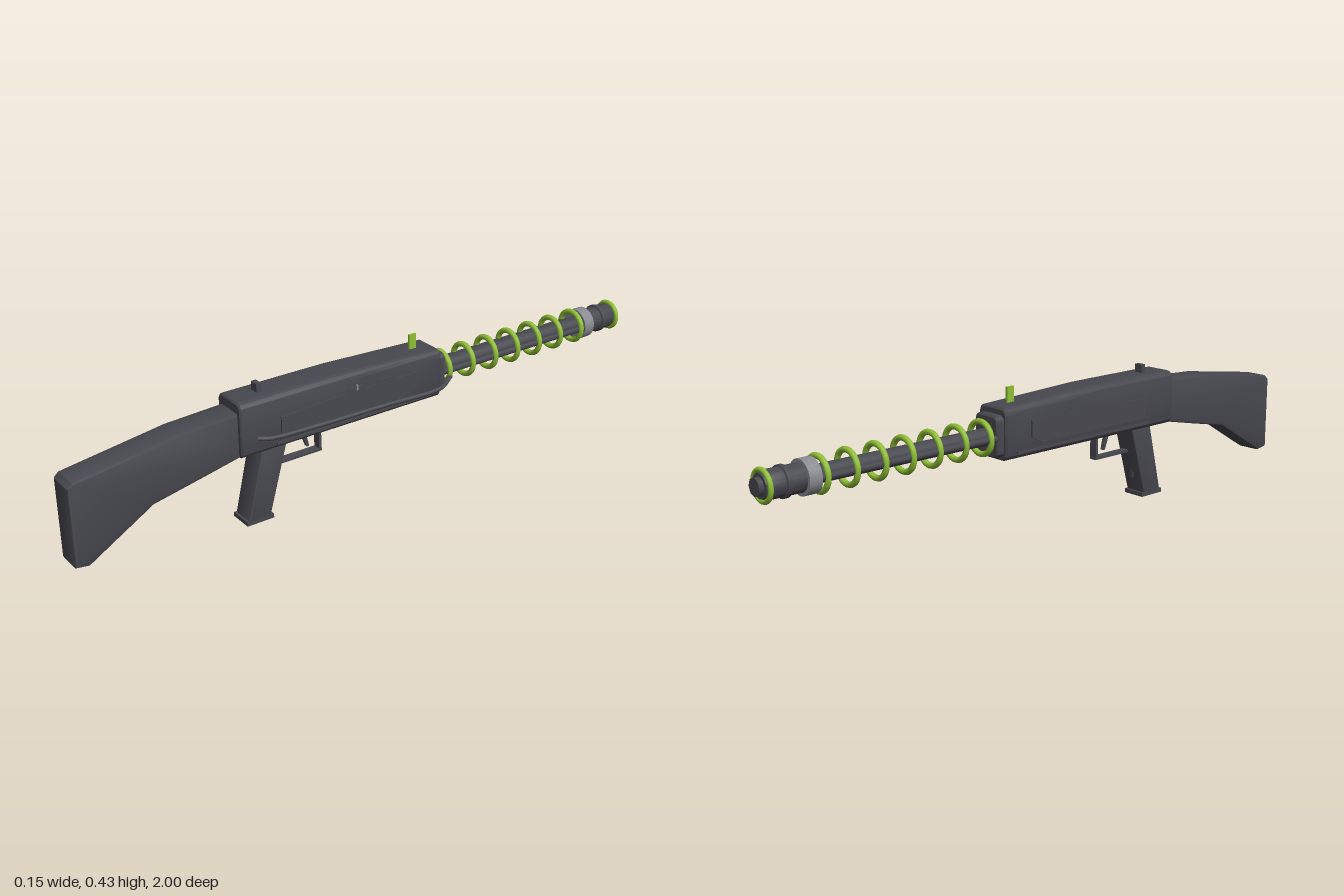
import * as THREE from 'three';
import { toCreasedNormals } from 'three/addons/utils/BufferGeometryUtils.js';

const CX = -0.011; // centre line of the model
const AXIS_Y = 0.3; // height of the barrel axis

const mat = (name, color) => {
  const m = new THREE.MeshStandardMaterial({ color });
  m.name = name;
  return m;
};

export function createModel() {
  const group = new THREE.Group();
  const body = mat('charcoal', 0x47474f);
  const green = mat('lime green', 0x8fbf35);
  const silver = mat('silver grey', 0x8a8a92);

  const add = (name, geo, material, x = 0, y = 0, z = 0) => {
    const mesh = new THREE.Mesh(geo, material);
    mesh.name = name;
    mesh.position.set(x, y, z);
    group.add(mesh);
    return mesh;
  };
  const box = (name, m, w, h, d, x, y, z) => add(name, new THREE.BoxGeometry(w, h, d), m, x, y, z);

  // Side profile of [z, y] points, extruded across x and centred on the given x
  const slab = (name, points, width, bevel, x = CX) => {
    const shape = new THREE.Shape(points.map(([z, y]) => new THREE.Vector2(z, y)));
    const geo = new THREE.ExtrudeGeometry(shape, {
      depth: width - 2 * bevel, bevelEnabled: bevel > 0, bevelSize: bevel,
      bevelThickness: bevel, bevelOffset: -bevel, bevelSegments: 2,
    });
    geo.translate(0, 0, -(width - 2 * bevel) / 2);
    geo.rotateY(-Math.PI / 2);
    return add(name, toCreasedNormals(geo, 0.5), body, x);
  };

  // Rounded block running along z
  const roundedBlock = (w, h, r, z0, z1, steps = 1, bevel = 0.005) => {
    const s = new THREE.Shape();
    const a = w / 2, b = h / 2;
    s.moveTo(-a + r, -b);
    s.lineTo(a - r, -b).absarc(a - r, -b + r, r, -Math.PI / 2, 0);
    s.lineTo(a, b - r).absarc(a - r, b - r, r, 0, Math.PI / 2);
    s.lineTo(-a + r, b).absarc(-a + r, b - r, r, Math.PI / 2, Math.PI);
    s.lineTo(-a, -b + r).absarc(-a + r, -b + r, r, Math.PI, Math.PI * 1.5);
    const geo = new THREE.ExtrudeGeometry(s, {
      depth: z1 - z0 - 2 * bevel, steps, curveSegments: 5, bevelSize: bevel,
      bevelThickness: bevel, bevelOffset: -bevel, bevelSegments: 1,
    });
    return geo.translate(0, 0, z0 + bevel);
  };

  // Round part lying along z
  const rod = (name, m, r, z0, z1, x = CX, sides = 24) => {
    const geo = new THREE.CylinderGeometry(r, r, z1 - z0, sides).rotateX(Math.PI / 2);
    return add(name, geo, m, x, AXIS_Y, (z0 + z1) / 2);
  };

  // Stock
  slab('stock', [
    [0.47, 0.235], [0.62, 0.203], [0.76, 0.174], [0.96, 0.054], [1, 0.06],
    [1, 0.3], [0.985, 0.314], [0.67, 0.36], [0.47, 0.37],
  ], 0.09, 0.008);

  // Receiver, its top falling slightly toward the barrel
  const receiver = roundedBlock(0.12, 0.17, 0.022, -0.215, 0.49, 8);
  const p = receiver.attributes.position;
  for (let i = 0; i < p.count; i++) {
    const drop = 0.015 * Math.max(0, (0.15 - p.getZ(i)) / 0.365);
    if (p.getY(i) > 0) p.setY(i, p.getY(i) - drop);
  }
  add('receiver', toCreasedNormals(receiver, 0.5), body, CX, 0.315, 0);
  add('receiverNose', toCreasedNormals(roundedBlock(0.1, 0.125, 0.02, -0.24, -0.2), 0.5), body, CX, 0.303, 0);

  // Stepped side panels and lower rails
  for (const side of [-1, 1]) {
    slab('sidePanel', [
      [0.36, 0.268], [0.36, 0.33], [0.14, 0.34], [0.13, 0.352], [0.08, 0.352], [0.07, 0.34],
      [0.03, 0.34], [0.02, 0.352], [-0.03, 0.352], [-0.04, 0.34], [-0.12, 0.34], [-0.12, 0.29], [-0.08, 0.268],
    ], 0.008, 0, CX + side * 0.061);
    box('lowerRail', body, 0.006, 0.008, 0.55, CX + side * 0.061, 0.25, 0.1);
  }
  box('panelPin', silver, 0.006, 0.016, 0.006, CX + 0.064, 0.35, 0.1);

  // Sights
  box('rearSight', body, 0.028, 0.03, 0.016, CX, 0.411, 0.4);
  box('frontSight', green, 0.008, 0.048, 0.025, CX, 0.41, -0.148);

  // Cable along the model's left side
  const path = new THREE.CatmullRomCurve3([
    [0.052, 0.286, 0.44], [0.06, 0.279, 0.4], [0.062, 0.273, 0.25], [0.062, 0.269, 0],
    [0.063, 0.264, -0.17], [0.058, 0.268, -0.215], [0.038, 0.284, -0.262],
  ].map((q) => new THREE.Vector3(...q)));
  add('sideCable', new THREE.TubeGeometry(path, 48, 0.007, 8), body);

  // Grip and base plate
  slab('grip', [[0.39, 0.008], [0.464, 0.008], [0.41, 0.24], [0.325, 0.24]], 0.075, 0.005);
  box('gripBase', body, 0.076, 0.013, 0.09, CX, 0.0065, 0.425);
  box('gripLatch', body, 0.012, 0.1, 0.004, CX, 0.11, 0.37);

  // Trigger and guard
  box('guardBottom', body, 0.026, 0.008, 0.145, CX, 0.156, 0.265);
  box('guardPost', body, 0.026, 0.08, 0.008, CX, 0.192, 0.198);
  slab('trigger', [[0.232, 0.176], [0.24, 0.176], [0.262, 0.235], [0.246, 0.235]], 0.012, 0);

  // Barrel with a thin rod on each side
  rod('barrel', body, 0.026, -0.87, -0.2);
  for (const side of [-1, 1]) rod('sideRod', body, 0.01, -0.84, -0.2, CX + side * 0.04, 10);

  // Collar and muzzle
  rod('collar', silver, 0.05, -0.867, -0.828);
  const muzzle = new THREE.LatheGeometry([
    [0, -0.86], [0.04, -0.86], [0.04, -0.912], [0.045, -0.914], [0.045, -0.926],
    [0.04, -0.928], [0.04, -0.965], [0.034, -0.985], [0, -0.985],
  ].map(([r, z]) => new THREE.Vector2(r, -z)).map((v) => v), 24).rotateX(-Math.PI / 2);
  add('muzzle', toCreasedNormals(muzzle, 0.5), body, CX, AXIS_Y, 0);
  rod('muzzleTip', body, 0.026, -1, -0.98, CX, 8);

  // Green coil rings
  for (let i = 0; i < 7; i++) {
    add('coilRing', new THREE.TorusGeometry(0.048, 0.0088, 10, 32), green, CX, AXIS_Y, -0.26 - i * 0.0918);
  }
  add('muzzleRing', new THREE.TorusGeometry(0.042, 0.0075, 10, 32), green, CX, AXIS_Y, -0.977);

  return group;
}
